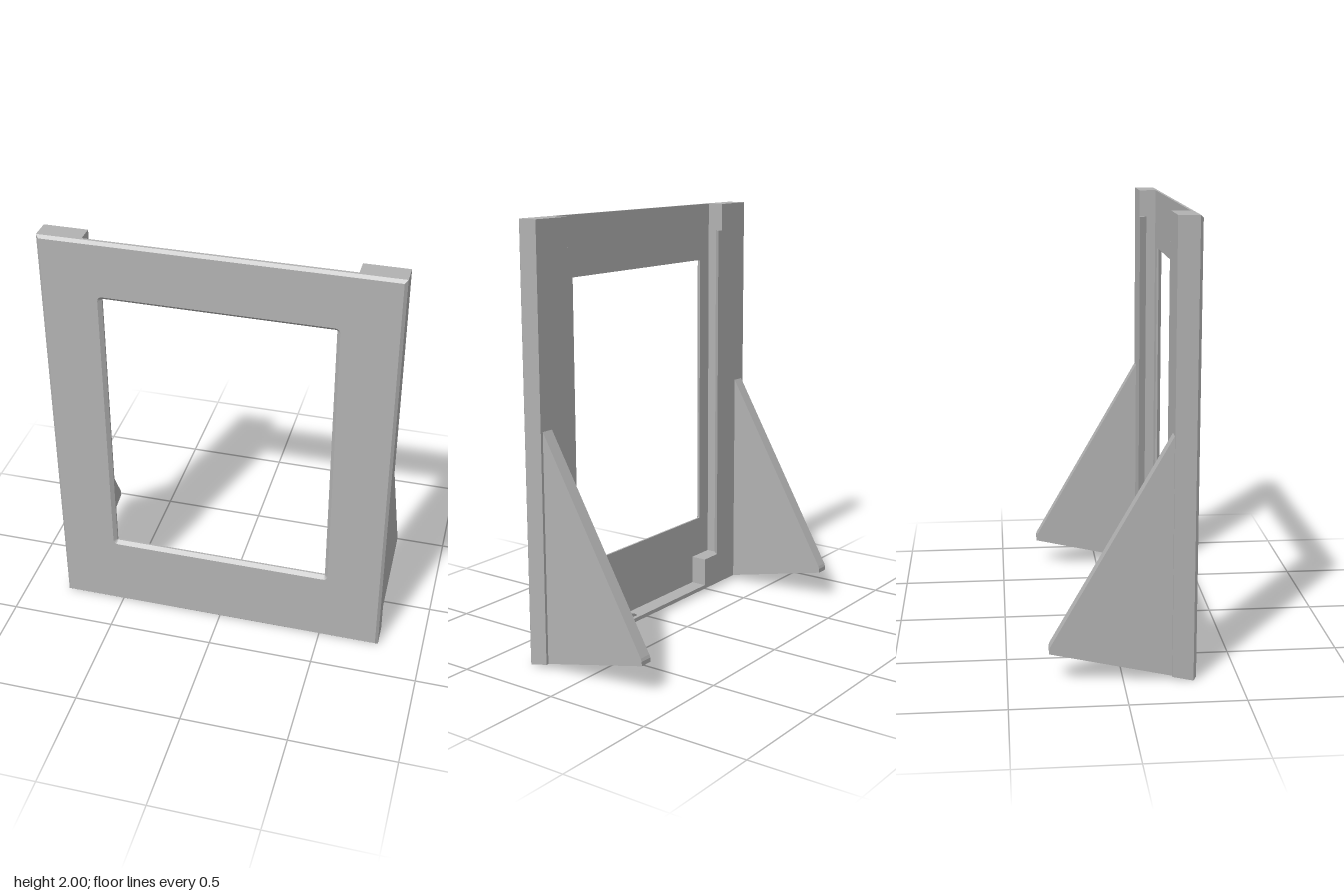
import * as THREE from 'three';
import { mergeGeometries } from 'three/addons/utils/BufferGeometryUtils.js';

const BACK = 0.21, PLATE_BACK = 0.29, FRONT = 0.315, BEVEL = 0.013;
// The underside slopes up towards the back
const floorY = (z) => Math.max(0, (FRONT - BEVEL - z) * 0.225);
const v2 = (pts) => pts.map(([x, y]) => new THREE.Vector2(x, y));

// Rectangle outline, counter-clockwise seen from the front
const rect = (hw, y0, y1) => v2([[-hw, y0], [hw, y0], [hw, y1], [-hw, y1]]);

// Rounded rectangle outline, clockwise so its walls face inwards
function windowLoop(hw, y0, y1, r) {
  const pts = [];
  [[1, y0, -1], [1, y1, 1], [-1, y1, 1], [-1, y0, -1]].forEach(([sx, y, sy], k) => {
    for (let i = 0; i <= 4; i++) {
      const a = (k - 1 + i / 4) * Math.PI / 2;
      pts.push(new THREE.Vector2(sx * (hw - r) + r * Math.cos(a), y - sy * r + r * Math.sin(a)));
    }
  });
  return pts.reverse();
}

// Wall between successive [outline, z] sections, from front to back
function loft(sections) {
  const p = [];
  for (let s = 0; s + 1 < sections.length; s++) {
    const [A, za] = sections[s], [B, zb] = sections[s + 1];
    A.forEach((a, i) => {
      const j = (i + 1) % A.length, b = B[i], c = B[j], d = A[j];
      p.push(a.x, a.y, za, b.x, b.y, zb, c.x, c.y, zb, a.x, a.y, za, c.x, c.y, zb, d.x, d.y, za);
    });
  }
  return new THREE.BufferGeometry().setAttribute('position', new THREE.Float32BufferAttribute(p, 3));
}

// Flat face with a window in it
function cap(outer, hole, z, flip) {
  const shape = new THREE.Shape(outer);
  shape.holes.push(new THREE.Path(hole));
  const g = new THREE.ShapeGeometry(shape).translate(0, 0, z);
  if (flip) g.index.array.reverse();
  const flat = g.toNonIndexed();
  flat.deleteAttribute('uv');
  flat.deleteAttribute('normal');
  return flat;
}

// Upright prism from an (x, z) outline; a prism that starts at 0 follows the sloping underside
function upright(outline, y0, y1, hole) {
  const shape = new THREE.Shape(v2(outline.map(([x, z]) => [x, -z])));
  if (hole) shape.holes.push(new THREE.Path().absarc(hole.x, -hole.z, hole.r, 0, Math.PI * 2, true));
  const g = new THREE.ExtrudeGeometry(shape, { depth: y1 - y0, bevelEnabled: false, curveSegments: 24 });
  g.rotateX(-Math.PI / 2).translate(0, y0, 0);
  const pos = g.attributes.position;
  for (let i = 0; i < pos.count; i++) {
    if (pos.getY(i) < 1e-5) pos.setY(i, floorY(pos.getZ(i)));
  }
  g.computeVertexNormals();
  return g;
}

export function createModel() {
  const group = new THREE.Group();
  const grey = new THREE.MeshStandardMaterial({ color: 0xb2b2b2 });
  grey.name = 'grey';
  const add = (name, geometry) => {
    const mesh = new THREE.Mesh(geometry, grey);
    mesh.name = name;
    group.add(mesh);
  };

  // Front plate with bevelled rim and bevelled window
  const rimFront = rect(0.79 - BEVEL, BEVEL, 2 - BEVEL);
  const rimBack = rect(0.79, floorY(PLATE_BACK), 2);
  const holeFront = windowLoop(0.53, 0.36, 1.74, 0.022);
  const holeBack = windowLoop(0.514, 0.377, 1.724, 0.004);
  const plate = mergeGeometries([
    loft([[rimFront, FRONT], [rect(0.79, 0, 2), FRONT - BEVEL], [rimBack, PLATE_BACK]]),
    loft([[holeFront, FRONT], [holeBack, FRONT - 0.016], [holeBack, PLATE_BACK]]),
    cap(rimFront, holeFront, FRONT, false),
    cap(rimBack, holeBack, PLATE_BACK, true),
  ]);
  plate.computeVertexNormals();
  add('frontPlate', plate);

  // Bottom ledge with a drain hole
  add('bottomLedge', upright(
    [[-0.59, BACK], [0.59, BACK], [0.59, PLATE_BACK], [-0.59, PLATE_BACK]],
    0, 0.04, { x: 0.12, z: 0.25, r: 0.027 }));

  for (const [side, s] of [['left', 1], ['right', -1]]) {
    const mirror = (pts) => pts.map(([x, z]) => [s * x, z]);

    // Side rail
    add(side + 'Rail', upright(mirror(
      [[0.59, BACK], [0.79, BACK], [0.79, PLATE_BACK], [0.59, PLATE_BACK]]), 0, 2));

    // Retaining lip, cut away at the top so a panel can be slid in
    add(side + 'Lip', upright(mirror([[0.56, BACK], [0.59, BACK], [0.59, 0.245]]), 0.04, 1.87));

    // Corner rest for the panel
    add(side + 'CornerRest', upright(mirror(
      [[0.45, BACK], [0.59, BACK], [0.59, PLATE_BACK], [0.45, PLATE_BACK]]), 0.04, 0.18));

    // Triangular rear support
    const fin = new THREE.Shape(v2([
      [BACK, floorY(BACK)], [BACK, 1.09], [-0.315, 0.173], [-0.32, 0.16], [-0.32, floorY(-0.32)]]));
    const support = new THREE.ExtrudeGeometry(fin, { depth: 0.06, bevelEnabled: false });
    support.rotateY(-Math.PI / 2).translate(s * 0.747 + 0.03, 0, 0);
    add(side + 'Support', support);
  }
  return group;
}
